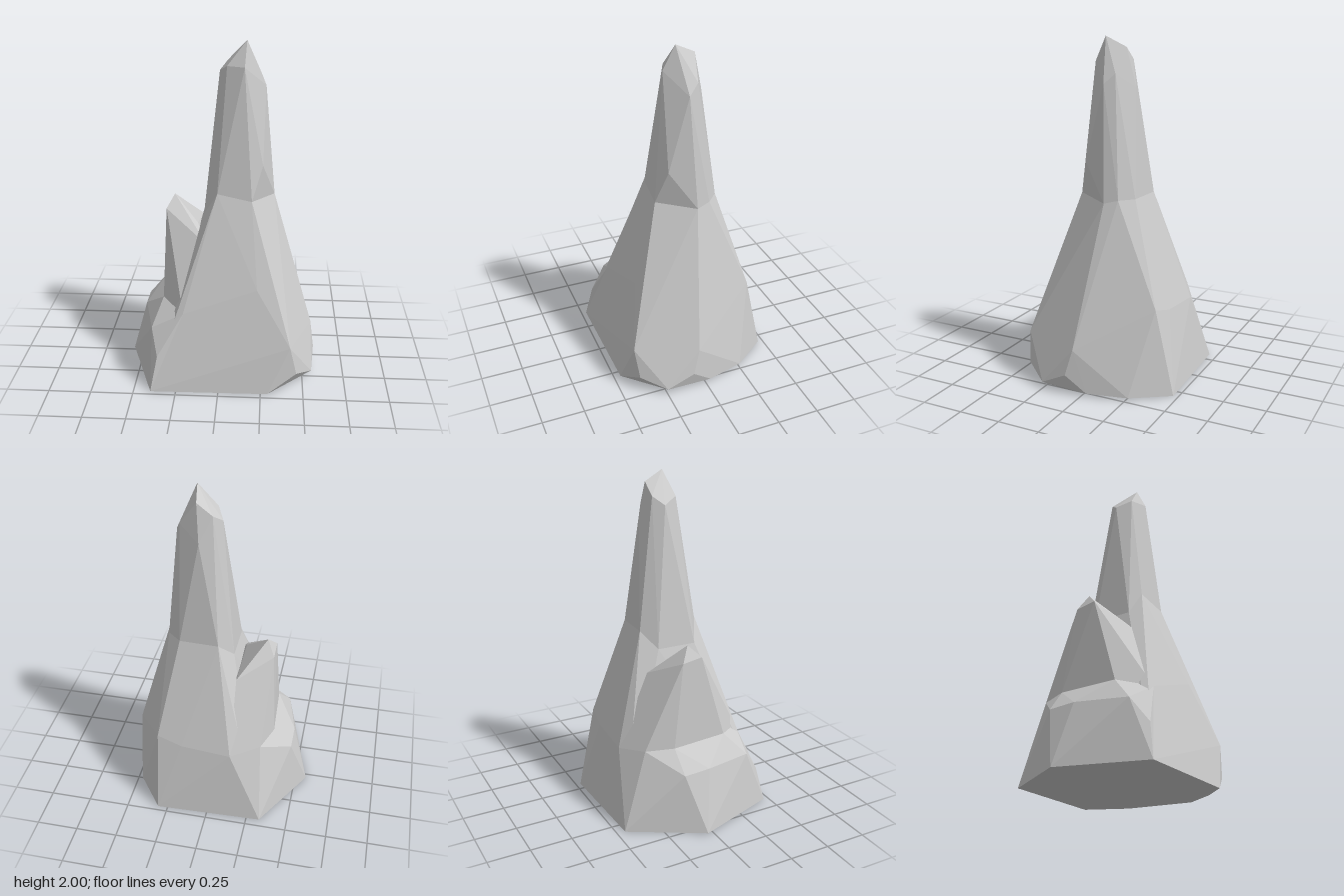
import * as THREE from 'three';
import { ConvexGeometry } from 'three/addons/geometries/ConvexGeometry.js';

const stone = new THREE.MeshStandardMaterial({ color: 0xcccccc, flatShading: true });

// A faceted boulder: the convex skin around a few corner points
function facetedRock(name, corners) {
  const points = corners.map(([x, y, z]) => new THREE.Vector3(x, y, z));
  const mesh = new THREE.Mesh(new ConvexGeometry(points), stone);
  mesh.name = name;
  return mesh;
}

export function createModel() {
  const group = new THREE.Group();
  group.name = 'rockSpire';

  // Waist where the tall spire grows out of the main mass
  const waist = [
    [-0.02, 1.14, 0.17], [0.18, 1.10, 0.18], [0.31, 1.08, -0.03],
    [0.29, 1.10, -0.11], [0.21, 1.10, -0.18], [-0.02, 1.10, -0.19],
    [-0.10, 1.00, -0.11], [-0.10, 1.00, 0.13],
  ];
  // Corners shared by the main mass and the low shoulder
  const frontCorner = [-0.40, 0, 0.47];
  const backCorner = [-0.33, 0, -0.45];
  const frontLedge = [-0.21, 0.46, 0.36];
  const backLedge = [-0.13, 0.44, -0.39];
  // Top of the shoulder, from which the small peak rises
  const ledge = [
    frontLedge, [-0.34, 0.49, 0.20], [-0.36, 0.48, -0.14], [-0.30, 0.47, -0.30], backLedge,
  ];

  // Main mass: footprint, undercut rim, mid-height corners, waist
  group.add(facetedRock('mainMass', [
    frontCorner, [0.29, 0, 0.46], [0.50, 0, 0.16], [0.54, 0.02, -0.03],
    [0.47, 0.01, -0.26], [0.31, 0, -0.47], backCorner,
    [0.42, 0.28, 0.41], [0.46, 0.10, 0.39], [0.555, 0.04, 0.25],
    [0.57, 0.12, 0.09], [0.55, 0.27, 0.05],
    [0.22, 0.61, 0.33], [0.36, 0.61, 0.22], [0.45, 0.48, 0.03],
    [0.32, 0.50, -0.36], [0.17, 0.46, -0.38],
    frontLedge, backLedge, [-0.08, 0.84, 0.21],
    ...waist,
  ]));

  // Tall spire with a chipped, off-centre tip
  group.add(facetedRock('tallSpire', [
    ...waist, [0.24, 1.30, 0.12],
    [0.10, 1.72, -0.13], [0.25, 1.74, 0.00], [0.22, 1.80, -0.06],
    [-0.015, 1.82, -0.02], [0.03, 1.86, 0.07], [0.13, 1.86, 0.11],
    [0.03, 1.87, -0.08], [0.12, 1.94, -0.08], [0.14, 2.00, 0.04],
  ]));

  // Low shoulder on the -x side
  group.add(facetedRock('shoulder', [
    frontCorner, [-0.57, 0, -0.03], backCorner, [0, 0, 0],
    [-0.36, 0.21, 0.43], [-0.40, 0.35, 0.33], [-0.47, 0.36, 0.03], [-0.47, 0.35, -0.13],
    ...ledge,
  ]));

  // Small peak leaning against the spire
  group.add(facetedRock('smallPeak', [
    ...ledge, [-0.08, 0.84, 0.21], [-0.26, 0.88, 0.12], [-0.14, 0.93, 0.09],
    [-0.13, 0.88, -0.20], [-0.33, 1.00, 0.05], [-0.33, 0.98, -0.07], [-0.285, 1.07, -0.02],
  ]));

  return group;
}
